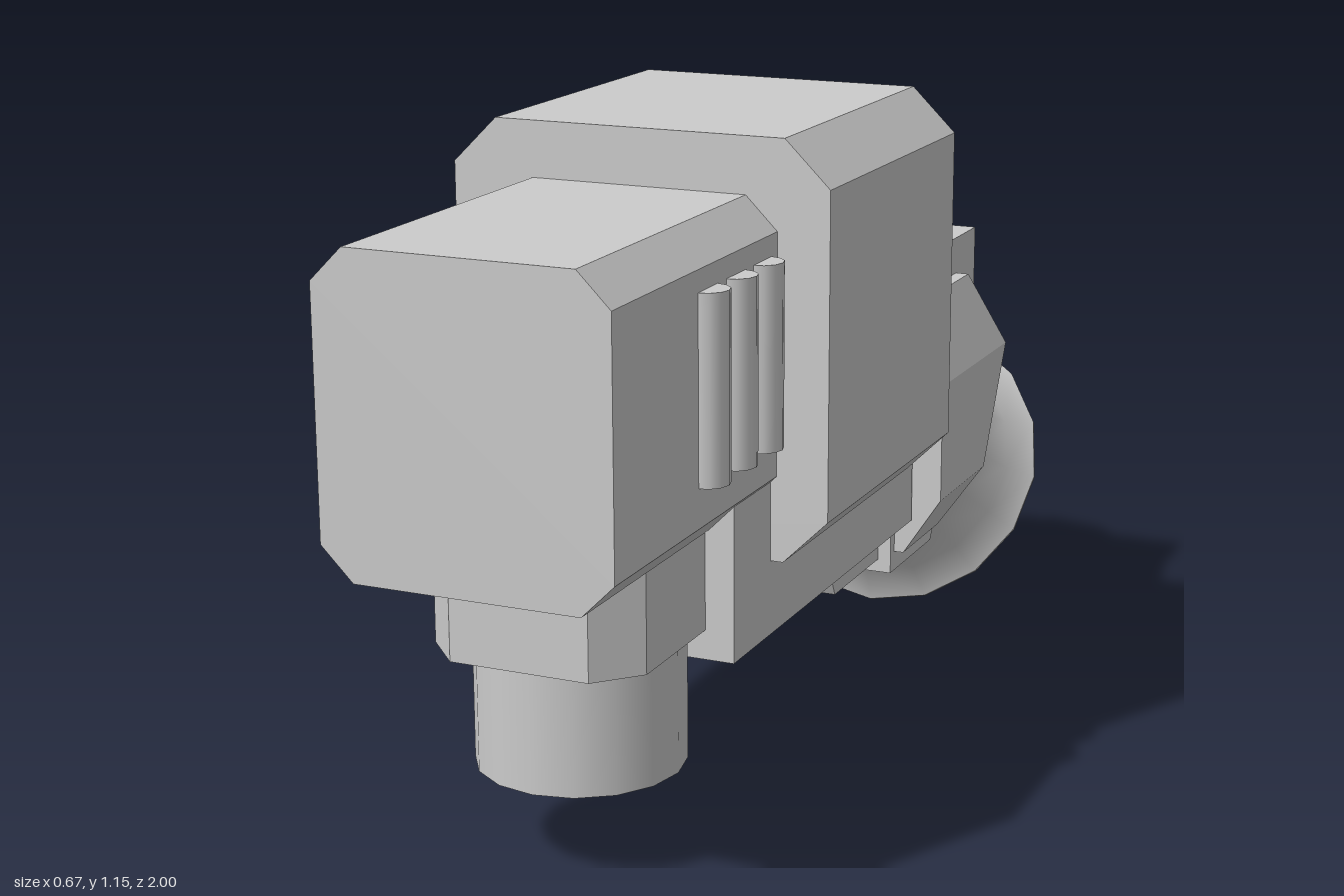
import * as THREE from 'three';
import { ConvexGeometry } from 'three/addons/geometries/ConvexGeometry.js';

const smooth = new THREE.MeshStandardMaterial({ color: 0xcccccc });
const flat = new THREE.MeshStandardMaterial({ color: 0xcccccc, flatShading: true });
const thin = new THREE.MeshStandardMaterial({ color: 0xcccccc, side: THREE.DoubleSide });

export function createModel() {
  const model = new THREE.Group();
  model.name = 'weaponAttachment';

  const add = (name, geometry, material = flat) => {
    const mesh = new THREE.Mesh(geometry, material);
    mesh.name = name;
    model.add(mesh);
    return mesh;
  };

  // Box given by half width and its y and z ranges
  const box = (name, halfX, y0, y1, z0, z1) =>
    add(name, new THREE.BoxGeometry(2 * halfX, y1 - y0, z1 - z0))
      .position.set(0, (y0 + y1) / 2, (z0 + z1) / 2);

  const extrude = (points, depth) => new THREE.ExtrudeGeometry(
    new THREE.Shape(points.map(([x, y]) => new THREE.Vector2(x, y))),
    { depth, bevelEnabled: false });

  // Rectangle with cut corners
  const octagon = (w, y0, y1, cx, cy) => [
    [-w + cx, y0], [w - cx, y0], [w, y0 + cy], [w, y1 - cy],
    [w - cx, y1], [-w + cx, y1], [-w, y1 - cy], [-w, y0 + cy]];

  // Side profile in (z, y), extruded across x
  const sideProfile = (name, points, halfX) =>
    add(name, extrude(points, 2 * halfX).translate(0, 0, -halfX).rotateY(-Math.PI / 2));

  // Main housings
  add('mainHousing', extrude(octagon(0.335, 0.455, 1.155, 0.078, 0.077), 0.59)).position.z = -0.19;
  add('frontHousing', extrude(octagon(0.245, 0.545, 1.06, 0.055, 0.055), 0.62)).position.z = 0.38;

  // Rounded ribs on both sides of the front housing
  for (const side of [-1, 1]) {
    for (const z of [0.46, 0.565, 0.67]) {
      add('sideRib', new THREE.CylinderGeometry(0.037, 0.037, 0.305, 12), smooth)
        .position.set(side * 0.243, 0.817, z);
    }
  }

  // Front mount and knob
  add('knobMount', extrude(octagon(0.185, 0.42, 0.84, 0.065, 0.07), 0.2)
    .rotateX(Math.PI / 2)).position.y = 0.577;
  add('knob', new THREE.CylinderGeometry(0.173, 0.173, 0.25, 16), smooth)
    .position.set(0, 0.285, 0.63);

  // Lower rail, underside plates and rear steps
  box('lowerRail', 0.235, 0.327, 0.59, -0.28, 0.55);
  box('undersidePlate', 0.12, 0.28, 0.34, -0.04, 0.275);
  sideProfile('undersideFoot', [[0, 0.335], [-0.045, 0.247], [-0.28, 0.247], [-0.28, 0.335]], 0.175);
  box('lowerStep', 0.23, 0.5, 0.65, -0.3, -0.17);
  box('upperStep', 0.16, 0.6, 0.76, -0.28, -0.17);

  // Rear block with slanted back
  sideProfile('rearBlock',
    [[-0.265, 0.223], [-0.265, 0.8], [-0.72, 0.8], [-0.72, 0.625], [-0.488, 0.223]], 0.2);

  // Faceted side pods, as levels of [y, outer x, front z, back z]
  const podLevels = [
    [0.26, 0.218, -0.285, -0.475], [0.37, 0.29, -0.285, -0.535],
    [0.59, 0.29, -0.285, -0.655], [0.73, 0.225, -0.325, -0.61]];
  for (const side of [-1, 1]) {
    const corners = podLevels.flatMap(([y, x, zf, zb]) => [x, 0.17].flatMap(
      (px) => [zf, zb].map((z) => new THREE.Vector3(side * px, y, z))));
    add('sidePod', new ConvexGeometry(corners));
  }

  // Elbow pipe from the housing down into the rear block
  const elbow = new THREE.CurvePath();
  const p = (y, z) => new THREE.Vector3(0, y, z);
  const k = 0.105;
  elbow.add(new THREE.LineCurve3(p(0.972, -0.15), p(0.972, -0.27)));
  elbow.add(new THREE.CubicBezierCurve3(
    p(0.972, -0.27), p(0.972, -0.27 - k), p(0.782 + k, -0.47), p(0.782, -0.47)));
  elbow.add(new THREE.LineCurve3(p(0.782, -0.47), p(0.74, -0.47)));
  add('elbowPipe', new THREE.TubeGeometry(elbow, 24, 0.146, 20, false), smooth);

  // Flared horn, tilted back and down
  const horn = new THREE.Group();
  horn.name = 'horn';
  const lathe = (name, points) => {
    const mesh = add(name, new THREE.LatheGeometry(
      points.map(([r, y]) => new THREE.Vector2(r, y)), 16), thin);
    horn.add(mesh);
  };
  lathe('hornOuter', [[0.218, -0.34], [0.219, -0.163], [0.25, -0.06], [0.298, -0.008]]);
  lathe('hornRim', [[0.298, -0.008], [0.297, 0], [0.276, 0]]);
  lathe('hornInner', [[0.276, 0], [0.232, -0.06], [0.2, -0.16], [0.19, -0.25]]);
  lathe('hornFloor', [[0.19, -0.25], [0, -0.25]]);
  horn.position.set(0, 0.262, -0.85);
  horn.rotation.x = -2 * Math.PI / 3;
  model.add(horn);

  return model;
}
